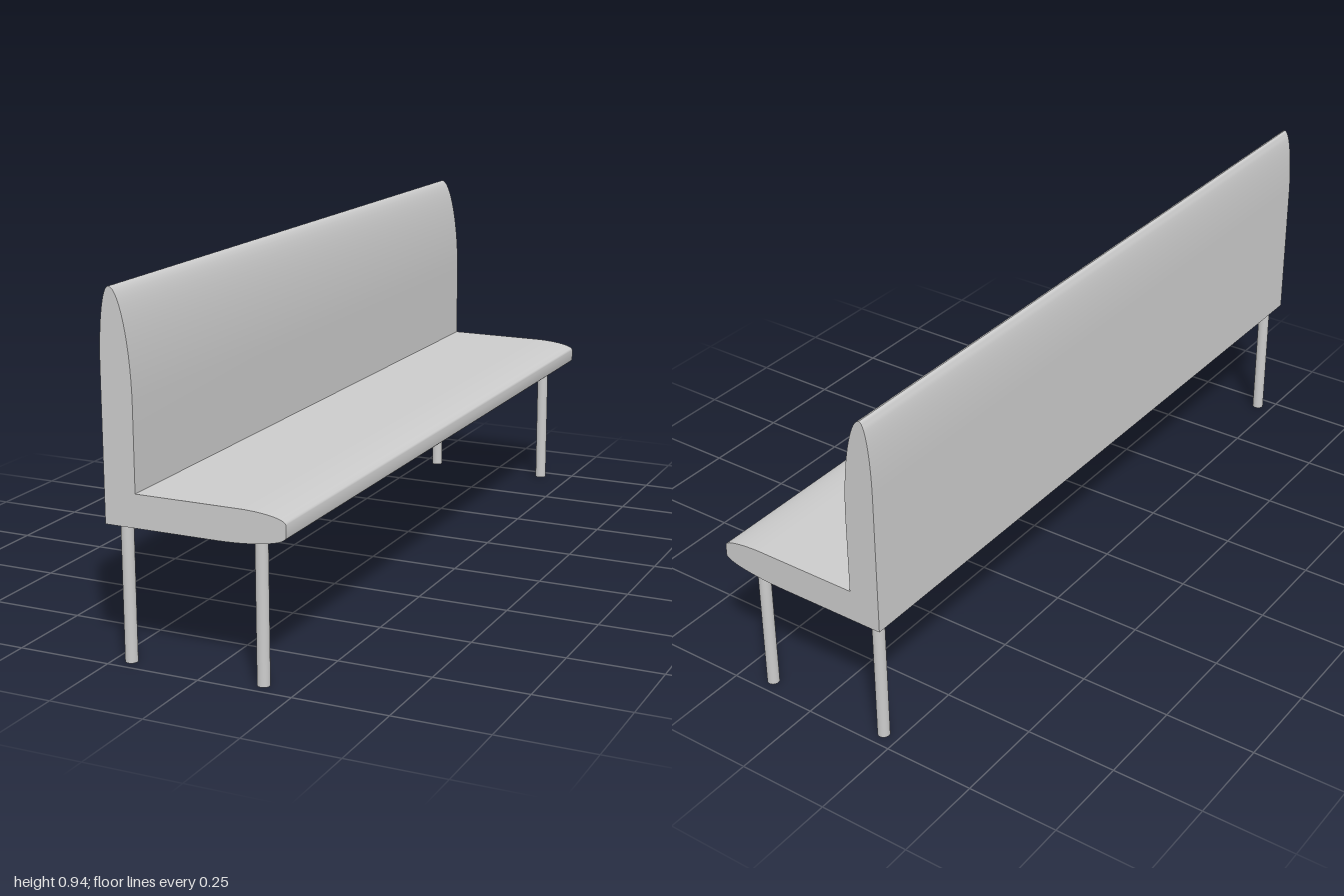
import * as THREE from 'three';
import { toCreasedNormals } from 'three/addons/utils/BufferGeometryUtils.js';

const LENGTH = 2;

export function createModel() {
  const model = new THREE.Group();
  model.name = 'bench';
  const material = new THREE.MeshStandardMaterial({ color: 0xcccccc });

  // L-shaped side profile: seat with a rounded nose, backrest with a tapered top
  const profile = new THREE.Shape();
  profile.moveTo(-0.242, 0.357);
  profile.lineTo(0.06, 0.357);
  profile.bezierCurveTo(0.15, 0.357, 0.241, 0.37, 0.241, 0.388);
  profile.lineTo(0.241, 0.418);
  profile.bezierCurveTo(0.241, 0.432, 0.18, 0.442, 0.12, 0.442);
  profile.lineTo(-0.157, 0.442);
  profile.lineTo(-0.157, 0.65);
  profile.bezierCurveTo(-0.157, 0.8, -0.185, 0.935, -0.213, 0.935);
  profile.bezierCurveTo(-0.232, 0.935, -0.242, 0.83, -0.242, 0.74);
  profile.closePath();

  const body = new THREE.ExtrudeGeometry(profile, {
    depth: LENGTH, bevelEnabled: false, curveSegments: 14,
  });
  body.translate(0, 0, -LENGTH / 2);
  const seatAndBack = new THREE.Mesh(toCreasedNormals(body, Math.PI / 5), material);
  seatAndBack.name = 'seatAndBackrest';
  model.add(seatAndBack);

  // Four round legs, the outer pair reaching into the curved underside
  const addLeg = (name, x, z, height) => {
    const leg = new THREE.Mesh(new THREE.CylinderGeometry(0.016, 0.016, height, 24), material);
    leg.position.set(x, height / 2, z);
    leg.name = name;
    model.add(leg);
  };
  for (const z of [-0.96, 0.96]) {
    addLeg('backrestLeg', -0.206, z, 0.36);
    addLeg('seatEdgeLeg', 0.157, z, 0.37);
  }
  return model;
}
